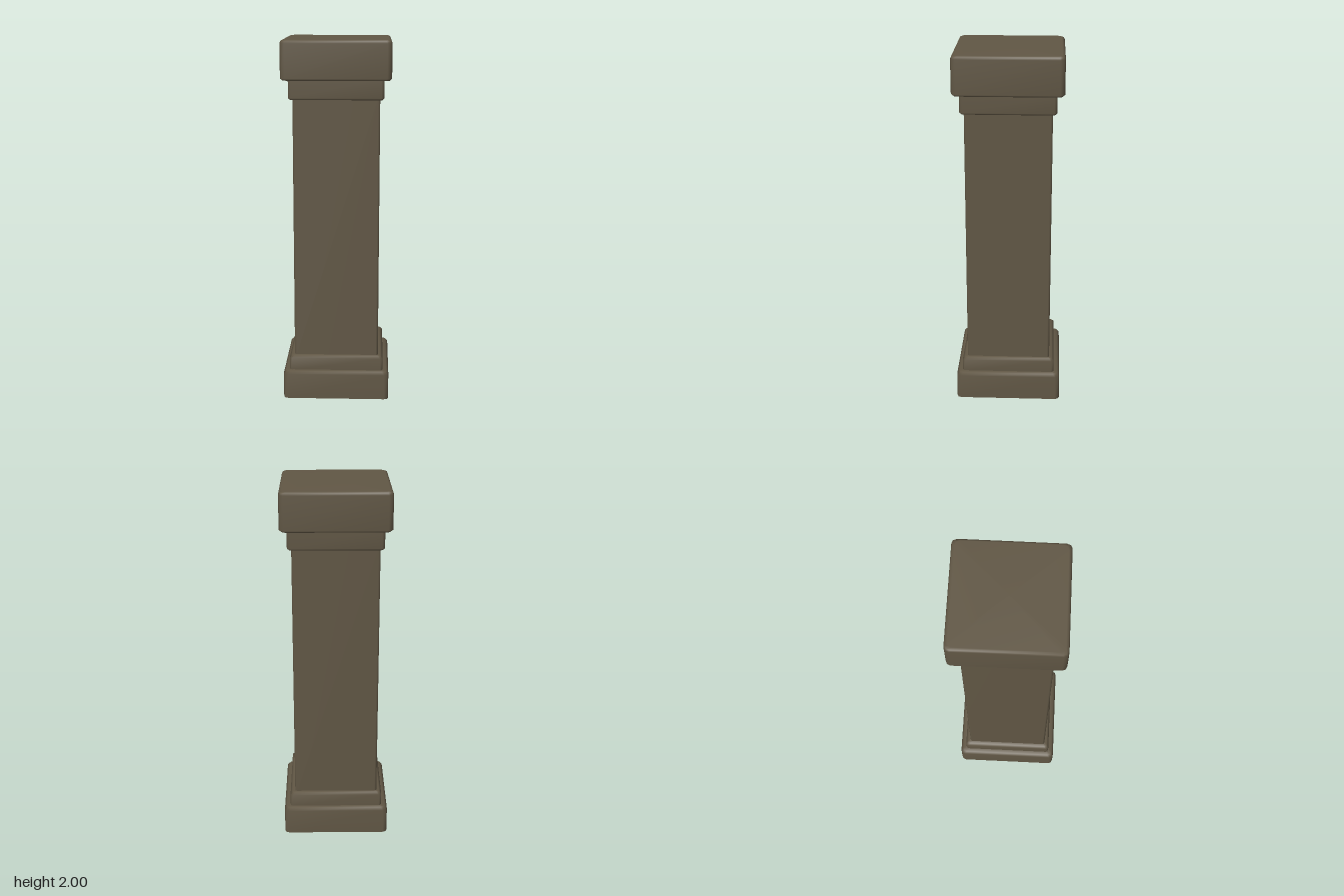
import * as THREE from 'three';

// Square ring with rounded corners, two facets per corner
function ring(half, radius, y) {
  const points = [];
  const c = half - radius;
  for (let q = 0; q < 4; q++) {
    const mid = Math.PI / 4 + q * Math.PI / 2;
    const cx = Math.sign(Math.cos(mid)) * c;
    const cz = Math.sign(Math.sin(mid)) * c;
    for (let k = 0; k < 3; k++) {
      const a = (q + k / 2) * Math.PI / 2;
      points.push(cx + Math.cos(a) * radius, y, cz + Math.sin(a) * radius);
    }
  }
  return points;
}

// Smooth shell through square rings; profile rows are [half width, height]
function squareShell(name, profile, radius, material) {
  const n = 12, positions = [], index = [];
  profile.forEach(([half, y]) => positions.push(...ring(half, Math.min(radius, half), y)));
  for (let i = 0; i < profile.length - 1; i++) {
    for (let j = 0; j < n; j++) {
      const a = i * n + j, b = i * n + (j + 1) % n;
      index.push(a, a + n, b);
      if (profile[i + 1][0] > 0) index.push(b, a + n, b + n);
    }
  }
  const geometry = new THREE.BufferGeometry();
  geometry.setAttribute('position', new THREE.Float32BufferAttribute(positions, 3));
  geometry.setIndex(index);
  geometry.computeVertexNormals();
  const mesh = new THREE.Mesh(geometry, material);
  mesh.name = name;
  return mesh;
}

export function createModel() {
  const group = new THREE.Group();
  group.name = 'pillar';
  const stone = new THREE.MeshStandardMaterial({ color: 0x615745, side: THREE.DoubleSide });
  stone.name = 'brown stone';

  group.add(
    // Hollow foot, open underneath
    squareShell('base', [[0.295, 0], [0.295, 0.143], [0.283, 0.158], [0.26, 0.16]], 0.025, stone),
    squareShell('baseMoulding', [[0.262, 0.158], [0.262, 0.228], [0.25, 0.24], [0.234, 0.242]], 0.015, stone),
    squareShell('shaft', [[0.235, 0.24], [0.235, 1.687]], 0.012, stone),
    squareShell('neckMoulding', [[0.234, 1.682], [0.249, 1.682], [0.257, 1.692], [0.257, 1.79]], 0.015, stone),
    // Cap with bevelled edges and a closed top
    squareShell('cap', [[0.255, 1.787], [0.285, 1.787], [0.296, 1.798], [0.296, 1.982], [0.291, 1.994],
      [0.279, 2], [0, 2]], 0.025, stone),
  );
  return group;
}
